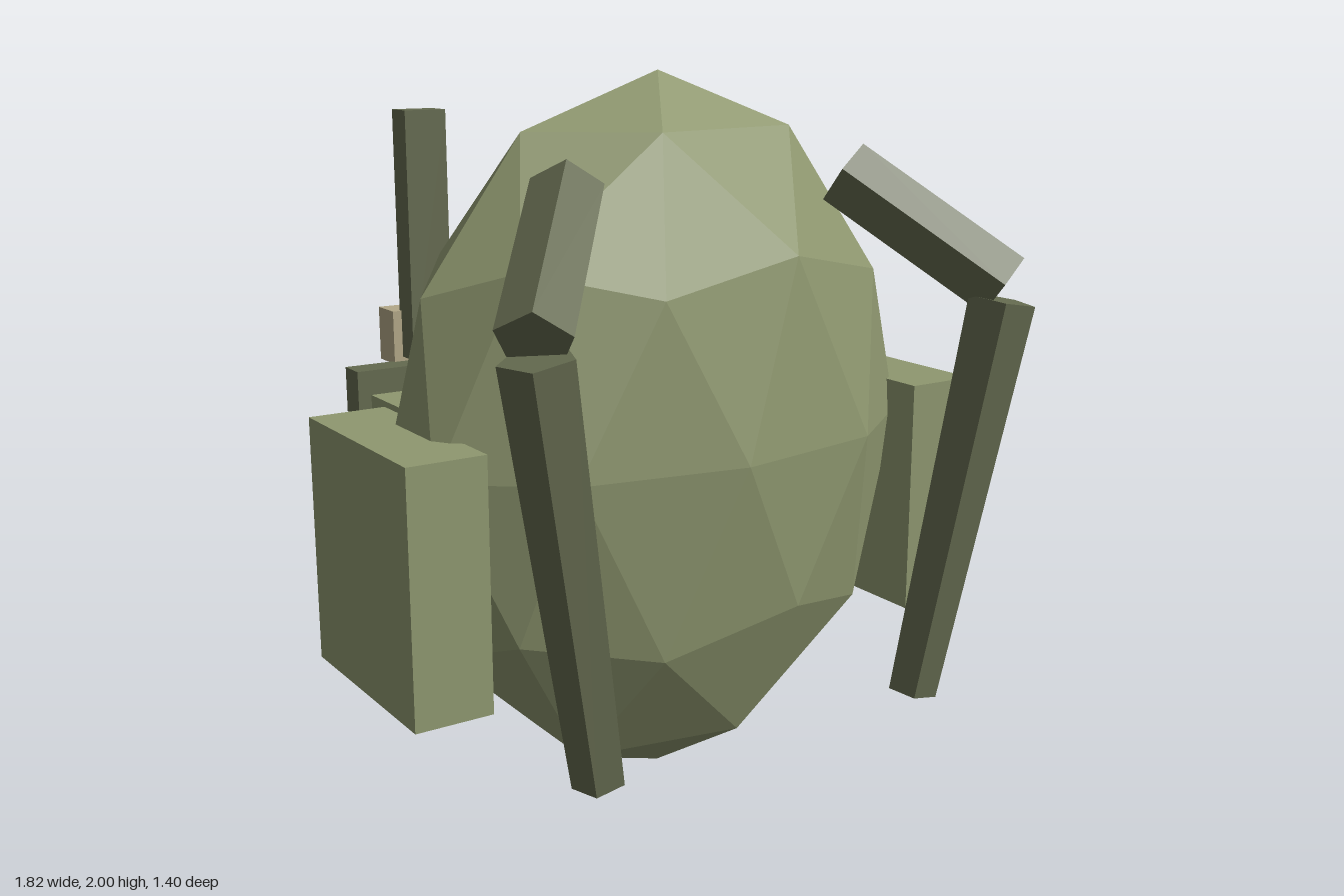
import * as THREE from 'three';

export function createModel() {
  const model = new THREE.Group();
  model.name = 'backpack';

  const mat = (color) => new THREE.MeshStandardMaterial({ color, flatShading: true });
  const canvas = mat(0x8f9870);
  const webbing = mat(0x646a4f);
  const clasp = mat(0xb3a888);

  const add = (name, geometry, material) => {
    const mesh = new THREE.Mesh(geometry, material);
    mesh.name = name;
    model.add(mesh);
    return mesh;
  };

  // Box given by its lower and upper corners
  const box = (name, [x0, y0, z0], [x1, y1, z1], material) =>
    add(name, new THREE.BoxGeometry(x1 - x0, y1 - y0, z1 - z0), material)
      .position.set((x0 + x1) / 2, (y0 + y1) / 2, (z0 + z1) / 2);

  // Five-sided strap piece running from top to bottom
  const strap = (name, top, bottom, rTop, rBottom) => {
    const a = new THREE.Vector3(...top);
    const b = new THREE.Vector3(...bottom);
    const geometry = new THREE.CylinderGeometry(rTop, rBottom, a.distanceTo(b), 5);
    geometry.rotateY(Math.PI);
    const mesh = add(name, geometry, webbing);
    mesh.position.copy(a).add(b).multiplyScalar(0.5);
    mesh.quaternion.setFromUnitVectors(new THREE.Vector3(0, 1, 0), a.sub(b).normalize());
  };

  // Faceted main bag, standing on one corner of the icosahedron
  const bag = new THREE.IcosahedronGeometry(1, 1);
  bag.rotateZ(Math.atan(2 / (1 + Math.sqrt(5))));
  bag.scale(0.8, 1, 0.44);
  bag.translate(0, 1, 0.02);
  add('mainBag', bag, canvas);

  // Rear pocket and its flap bar
  box('rearPocket', [-0.62, 0.365, -0.55], [0.62, 1.08, -0.312], canvas);
  box('rearFlapBar', [-0.66, 1.02, -0.622], [0.66, 1.152, -0.537], webbing);

  // Paired parts
  for (const [side, s] of [['left', 1], ['right', -1]]) {
    const pair = (name, [x0, y0, z0], [x1, y1, z1], material) =>
      box(side + name, [Math.min(s * x0, s * x1), y0, z0], [Math.max(s * x0, s * x1), y1, z1], material);

    pair('SidePocket', [0.692, 0.425, -0.283], [0.91, 1.105, 0.318], canvas);
    pair('RearStrap', [0.357, 1.165, -0.622], [0.483, 1.882, -0.537], webbing);
    pair('Buckle', [0.333, 1.145, -0.71], [0.51, 1.302, -0.61], clasp);

    strap(side + 'UpperShoulderStrap', [s * 0.435, 1.725, 0.28], [s * 0.722, 1.432, 0.615], 0.096, 0.096);
    strap(side + 'LowerShoulderStrap', [s * 0.715, 1.397, 0.615], [s * 0.52, 0.285, 0.542], 0.095, 0.07);
  }

  return model;
}
